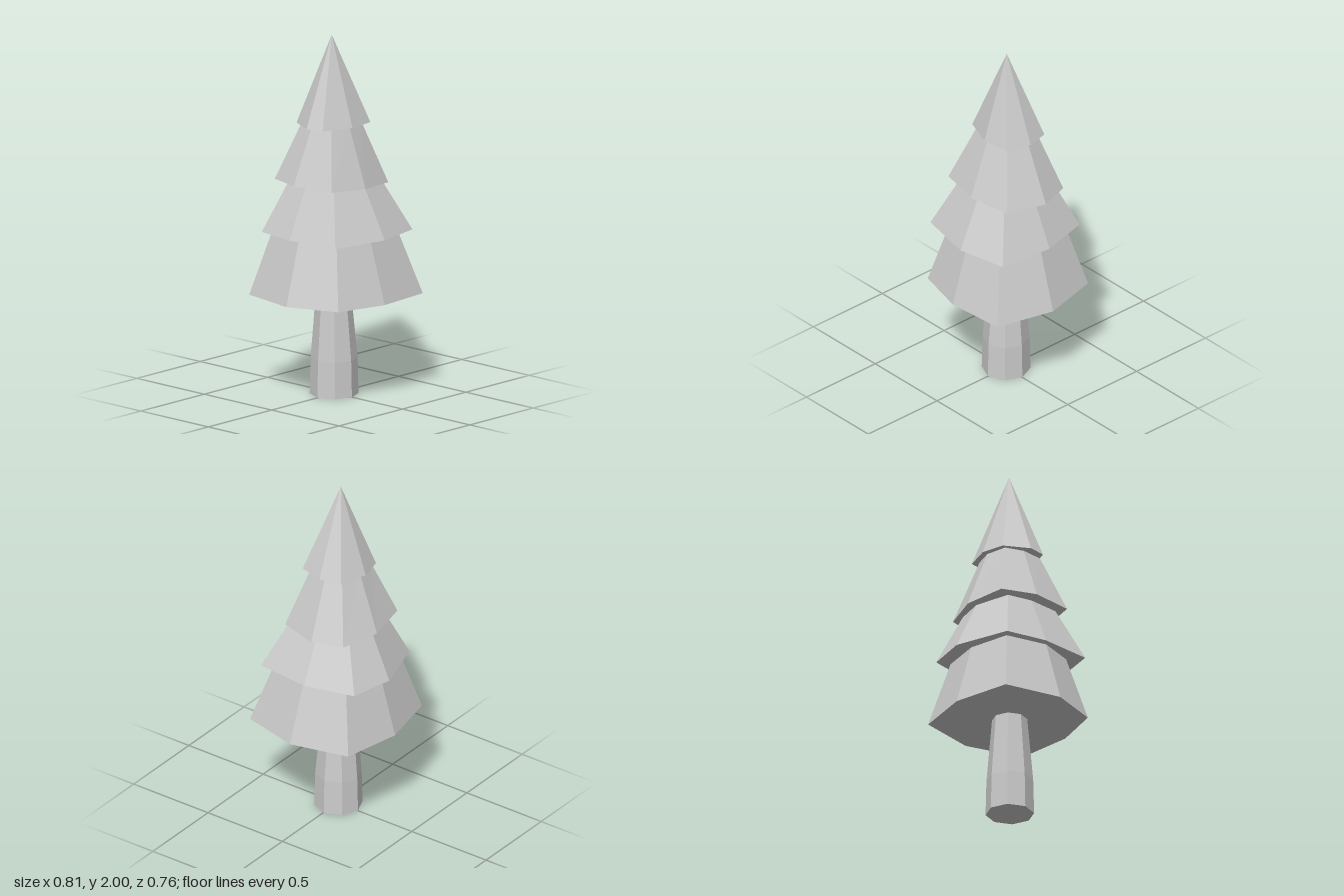
import * as THREE from 'three';

const material = new THREE.MeshStandardMaterial({ color: 0xcccccc, flatShading: true });

// Closed faceted solid through a stack of rings (bottom to top), each a list of
// [x, y, z] corners running clockwise as seen from above.
function loft(name, rings) {
  const pos = [];
  const tri = (a, b, c) => pos.push(...a, ...b, ...c);
  const centre = (ring) => [0, 1, 2].map((k) => ring.reduce((s, p) => s + p[k], 0) / ring.length);
  const n = rings[0].length;
  const low = rings[0], high = rings[rings.length - 1];
  const lowC = centre(low), highC = centre(high);
  for (let i = 0; i < n; i++) {
    const j = (i + 1) % n;
    tri(lowC, low[i], low[j]);
    tri(highC, high[j], high[i]);
    for (let r = 0; r + 1 < rings.length; r++) {
      const a = rings[r], b = rings[r + 1];
      tri(a[i], b[i], a[j]);
      tri(a[j], b[i], b[j]);
    }
  }
  const geometry = new THREE.BufferGeometry();
  geometry.setAttribute('position', new THREE.Float32BufferAttribute(pos, 3));
  geometry.computeVertexNormals();
  const mesh = new THREE.Mesh(geometry, material);
  mesh.name = name;
  return mesh;
}

// Uneven eight-cornered skirts: rim corners [x, z], rim height and tilt,
// top height, and how far the top shrinks towards the axis
const AXIS = [-0.01, -0.015];
const TIERS = [
  { name: 'lowestBranches', y: 0.56, tilt: 0, top: 0.915, shrink: 0.72,
    rim: [[-0.01, -0.38], [0.32, -0.31], [0.403, 0.02], [0.32, 0.35],
      [-0.01, 0.377], [-0.295, 0.302], [-0.405, 0.02], [-0.345, -0.312]] },
  { name: 'lowerBranches', y: 0.91, tilt: 0, top: 1.2, shrink: 0.6,
    rim: [[0.015, -0.36], [0.258, -0.304], [0.331, -0.02], [0.3, 0.292],
      [0.022, 0.348], [-0.297, 0.282], [-0.335, -0.022], [-0.298, -0.263]] },
  { name: 'upperBranches', y: 1.183, tilt: -0.06, top: 1.515, shrink: 0.52,
    rim: [[0.018, -0.28], [0.23, -0.21], [0.284, -0.035], [0.22, 0.188],
      [-0.015, 0.24], [-0.242, 0.2], [-0.28, -0.043], [-0.22, -0.24]] },
  { name: 'treeTop', y: 1.508, tilt: 0, top: 2, shrink: 0.001,
    rim: [[0, -0.19], [0.155, -0.14], [0.183, -0.015], [0.146, 0.125],
      [-0.015, 0.143], [-0.183, 0.08], [-0.203, -0.02], [-0.134, -0.16]] },
];

function branchTier({ name, y, tilt, top, shrink, rim }) {
  const lower = rim.map(([x, z]) => [x, y + tilt * x, z]);
  const upper = rim.map(([x, z]) => [
    AXIS[0] + (x - AXIS[0]) * shrink, top, AXIS[1] + (z - AXIS[1]) * shrink,
  ]);
  return loft(name, [lower, upper]);
}

// Regular octagon with corners on the axes, for the trunk
function octagon(x, y, z, r) {
  return Array.from({ length: 8 }, (_, i) => {
    const a = (i * Math.PI) / 4;
    return [x + r * Math.sin(a), y, z - r * Math.cos(a)];
  });
}

export function createModel() {
  const tree = new THREE.Group();
  tree.name = 'pineTree';

  // Trunk: nearly straight foot, then a taper up into the branches
  tree.add(loft('trunk', [
    octagon(-0.003, 0, -0.004, 0.132),
    octagon(-0.003, 0.2, -0.004, 0.127),
    octagon(-0.005, 0.57, -0.007, 0.095),
  ]));

  for (const tier of TIERS) tree.add(branchTier(tier));
  return tree;
}
